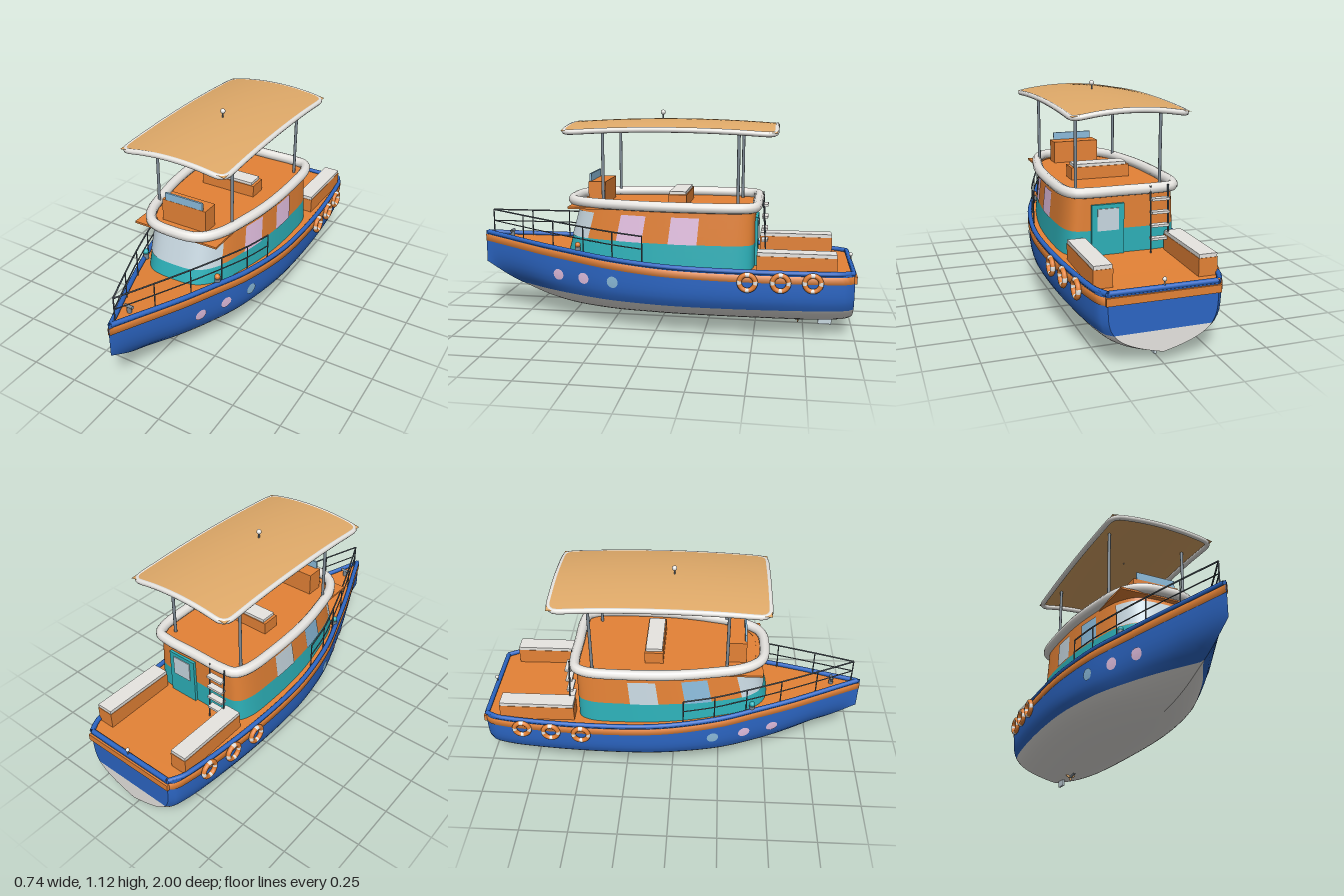
import * as THREE from 'three';

const V = (x, y, z) => new THREE.Vector3(x, y, z);
const paint = (name, color) => {
  const m = new THREE.MeshStandardMaterial({ color, side: THREE.DoubleSide });
  m.name = name;
  return m;
};

// hull stations: z, half width, sheer height, keel height
const STATIONS = [
  [-0.99, 0.254, 0.352, 0.052], [-0.97, 0.276, 0.352, 0.044], [-0.93, 0.292, 0.353, 0.037], [-0.8, 0.315, 0.355, 0.03],
  [-0.5, 0.343, 0.36, 0.03], [-0.2, 0.349, 0.365, 0.03], [0, 0.335, 0.372, 0.03],
  [0.25, 0.287, 0.387, 0.033], [0.46, 0.215, 0.402, 0.05], [0.62, 0.157, 0.414, 0.088],
  [0.76, 0.1, 0.426, 0.142], [0.866, 0.055, 0.435, 0.19], [1, 0, 0.447, 0.27],
];
// smooth interpolation through the stations
function station(z, col) {
  const S = STATIONS, n = S.length - 1;
  let i = 0;
  while (i < n - 1 && z > S[i + 1][0]) i++;
  const slope = (k) => {
    const a = S[Math.max(k - 1, 0)], b = S[Math.min(k + 1, n)];
    return (b[col] - a[col]) / (b[0] - a[0]);
  };
  const h = S[i + 1][0] - S[i][0], t = THREE.MathUtils.clamp((z - S[i][0]) / h, 0, 1);
  const t2 = t * t, t3 = t2 * t;
  return (2 * t3 - 3 * t2 + 1) * S[i][col] + (t3 - 2 * t2 + t) * h * slope(i)
    + (3 * t2 - 2 * t3) * S[i + 1][col] + (t3 - t2) * h * slope(i + 1);
}
const halfWidth = (z) => station(z, 1), sheer = (z) => station(z, 2), keel = (z) => station(z, 3);
const WATERLINE = 0.155;
const hullX = (z, y) => {
  const t = THREE.MathUtils.clamp((y - keel(z)) / (sheer(z) - keel(z)), 0, 1);
  const p = 5.3 - 1.8 * THREE.MathUtils.smoothstep(z, 0.2, 1);
  return halfWidth(z) * (1 - Math.pow(1 - t, p));
};

// surface from a grid of points given by f(u, v), u and v from 0 to 1
function surface(nu, nv, f) {
  const pos = [], idx = [];
  for (let i = 0; i <= nu; i++) for (let j = 0; j <= nv; j++) pos.push(...f(i / nu, j / nv).toArray());
  for (let i = 0; i < nu; i++) for (let j = 0; j < nv; j++) {
    const a = i * (nv + 1) + j, b = a + nv + 1;
    idx.push(a, b, a + 1, b, b + 1, a + 1);
  }
  const g = new THREE.BufferGeometry();
  g.setAttribute('position', new THREE.Float32BufferAttribute(pos, 3));
  g.setIndex(idx);
  g.computeVertexNormals();
  return g;
}
const lerp = THREE.MathUtils.lerp;
const zAt = (u) => lerp(-0.99, 1, u);

// cabin plan, from stern centre along one side to the front centre
const HALF_PLAN = [[0, -0.495], [0.18, -0.495], [0.25, -0.48], [0.283, -0.42], [0.295, -0.25],
  [0.287, 0], [0.255, 0.21], [0.205, 0.395], [0.13, 0.485], [0, 0.505]];
const PLAN = new THREE.CatmullRomCurve3(
  [...HALF_PLAN, ...HALF_PLAN.slice(1, -1).reverse().map(([x, z]) => [-x, z])].map(([x, z]) => V(x, 0, z)), true);
// point on the cabin wall, leaning in and back towards the top
function wall(t, y, out = 0) {
  const p = PLAN.getPoint(t), d = PLAN.getTangent(t), k = (y - 0.36) / 0.27;
  return V((p.x + d.z * out) * (1 - 0.06 * k), y, p.z - d.x * out - 0.075 * k * Math.max(0, p.z + 0.495));
}
function planT(z) {
  let a = 0.06, b = 0.5;
  for (let i = 0; i < 30; i++) PLAN.getPoint((a + b) / 2).z < z ? (a = (a + b) / 2) : (b = (a + b) / 2);
  return a;
}

export function createModel() {
  const boat = new THREE.Group();
  boat.name = 'boat';
  const blue = paint('hull blue', 0x2c66c4), orange = paint('orange', 0xe48236), teal = paint('teal', 0x2db0b8),
    tan = paint('canopy tan', 0xe0aa69), white = paint('off white', 0xeeece8), metal = paint('metal grey', 0x7e8a94),
    dark = paint('rail grey', 0x545f68), pink = paint('pink glass', 0xe8c4e6),
    pale = paint('pale glass', 0xc9d9e2), sky = paint('blue glass', 0x8cbcdc);

  const add = (name, geo, mat, x = 0, y = 0, z = 0) => {
    const m = new THREE.Mesh(geo, mat);
    m.name = name;
    m.position.set(x, y, z);
    boat.add(m);
    return m;
  };
  // box from its lower and upper limits
  const box = (name, mat, x0, x1, y0, y1, z0, z1) =>
    add(name, new THREE.BoxGeometry(x1 - x0, y1 - y0, z1 - z0), mat, (x0 + x1) / 2, (y0 + y1) / 2, (z0 + z1) / 2);
  const tube = (name, mat, pts, r, closed = false, seg = 80) =>
    add(name, new THREE.TubeGeometry(new THREE.CatmullRomCurve3(pts, closed), seg, r, 10, closed), mat);
  const rod = (name, mat, a, b, r) => add(name, new THREE.TubeGeometry(new THREE.LineCurve3(a, b), 1, r, 10), mat);
  const ball = (name, mat, x, y, z, r) => add(name, new THREE.SphereGeometry(r, 16, 12), mat, x, y, z);

  // hull sides, strake, rail and fittings on each side
  for (const s of [1, -1]) {
    const low = (z) => Math.max(WATERLINE, keel(z));
    const skin = (y0, y1) => (u, v) => {
      const z = zAt(u), y = lerp(y0(z), y1(z), v);
      return V(s * hullX(z, y), y, z);
    };
    add('hullBottom', surface(80, 14, (u, v) => skin(keel, low)(u, v * v)), white);
    add('hullSide', surface(80, 8, skin(low, sheer)), blue);
    add('strake', surface(80, 3, (u, v) => {
      const z = zAt(u), k = Math.round(v * 3);
      return V(s * Math.max(0, halfWidth(z) + [-0.012, 0.005, 0.005, -0.012][k]), sheer(z) - (k < 2 ? 0.022 : 0.058), z);
    }), orange);
    tube('rail', blue, Array.from({ length: 30 }, (_, i) => {
      const z = lerp(-0.985, 0.985, i / 29);
      return V(s * Math.max(0, halfWidth(z) - 0.006), sheer(z) - 0.007, z);
    }), 0.0125);

    // portholes lying on the hull
    [[0.53, pink], [0.38, pink], [0.215, sky]].forEach(([z0, mat]) =>
      add('porthole', surface(3, 28, (u, v) => {
        const a = v * Math.PI * 2, z = z0 + 0.03 * u * Math.cos(a), y = 0.26 + 0.03 * u * Math.sin(a);
        return V(s * (hullX(z, y) + 0.004), y, z);
      }), mat));

    // ring fenders in alternating colours
    for (const z of [-0.47, -0.63, -0.785]) for (let i = 0; i < 8; i++) {
      const wide = i % 2 === 0;
      const m = add('fender', new THREE.TorusGeometry(0.039, 0.0125, 10, 8, Math.PI * (wide ? 0.36 : 0.14)),
        wide ? orange : white, s * (halfWidth(z) + 0.014), 0.305, z);
      m.rotation.set(0, Math.PI / 2, (i >> 1) * Math.PI / 2 + Math.PI * (wide ? 0.07 : 0.43));
    }

    // bow railing
    const top = (z) => V(s * Math.max(0, halfWidth(z) - 0.02), lerp(0.505, 0.565, (z - 0.06) / 0.89), z);
    const foot = (z) => top(z).setY(sheer(z) - 0.015);
    const zs = [0.06, 0.22, 0.385, 0.565, 0.755, 0.95];
    zs.forEach((z) => rod('railingPost', dark, foot(z), top(z), 0.0032));
    tube('railingTop', dark, zs.map(top), 0.004);
    tube('railingMiddle', dark, zs.map((z) => top(z).lerp(foot(z), 0.45)), 0.003);

    // side lamps
    add('sideLampBase', new THREE.CylinderGeometry(0.015, 0.015, 0.03, 14), metal, s * 0.215, 0.405, 0.415);
    add('sideLamp', new THREE.SphereGeometry(0.015, 14, 10), s > 0 ? orange : teal, s * 0.215, 0.43, 0.415);

    // stern benches
    box('bench', orange, Math.min(s * 0.2, s * 0.29), Math.max(s * 0.2, s * 0.29), 0.33, 0.422, -0.9, -0.51);
    box('benchCushion', white, Math.min(s * 0.202, s * 0.288), Math.max(s * 0.202, s * 0.288), 0.422, 0.44, -0.898, -0.512);

    // canopy posts
    for (const z of [0.275, -0.41]) rod('canopyPost', metal, V(s * 0.215, 0.63, z), V(s * 0.215, 1.045, z), 0.008);
  }

  // transom, stern trim and deck
  const transom = (y0, y1) => surface(12, 12, (u, v) => {
    const y = lerp(y0, y1, v);
    return V((u * 2 - 1) * hullX(-0.99, y), y, -0.99);
  });
  add('transomBottom', transom(0.052, WATERLINE), white);
  add('transom', transom(WATERLINE, sheer(-0.99)), blue);
  box('sternStrake', orange, -0.264, 0.264, 0.294, 0.33, -1, -0.98);
  rod('sternRail', blue, V(-0.25, 0.345, -0.982), V(0.25, 0.345, -0.982), 0.0125);
  add('deck', surface(60, 2, (u, v) => {
    const z = zAt(u);
    return V((v * 2 - 1) * Math.max(0, halfWidth(z) - 0.002), sheer(z) - 0.016, z);
  }), orange);
  rod('sternLampPost', metal, V(0, 0.345, -0.985), V(0, 0.38, -0.985), 0.004);
  ball('sternLamp', white, 0, 0.382, -0.985, 0.01);
  rod('cleatBar', metal, V(-0.022, 0.45, 0.845), V(0.022, 0.45, 0.845), 0.008);
  rod('cleatFoot', metal, V(0, 0.41, 0.845), V(0, 0.45, 0.845), 0.012);

  // cabin walls, windows and roof
  const band = (name, mat, y0, y1, t0 = 0, t1 = 1, out = 0) =>
    add(name, surface(t1 - t0 > 0.5 ? 110 : 30, 4, (u, v) => wall(lerp(t0, t1, u), lerp(y0, y1, v), out)), mat);
  band('cabinLower', teal, 0.33, 0.465);
  band('cabinUpper', orange, 0.465, 0.635);
  band('windscreen', pale, 0.465, 0.6, planT(0.385), 1 - planT(0.385), 0.004);
  [[-0.205, -0.055, pink, pale], [0.085, 0.225, pink, sky]].forEach(([z0, z1, left, right]) => {
    const a = planT(z0), b = planT(z1);
    band('sideWindow', left, 0.465, 0.6, a, b, 0.004);
    band('sideWindow', right, 0.465, 0.6, 1 - b, 1 - a, 0.004);
  });
  add('roof', surface(100, 1, (t, v) => wall(t, 0.632, 0.01).multiply(V(v, 1, v))), orange);
  box('roofVisor', orange, -0.235, 0.235, 0.622, 0.632, 0.2, 0.46);
  tube('roofCoaming', white, Array.from({ length: 48 }, (_, i) => {
    const p = PLAN.getPoint(i / 48);
    return V(p.x * 0.965, 0.652, p.z * (p.z > 0 ? 0.935 : 1.015));
  }), 0.0265, true, 140);

  // rear door and ladder
  box('door', teal, 0.005, 0.166, 0.345, 0.592, -0.51, -0.485);
  box('doorWindow', pale, 0.033, 0.139, 0.465, 0.572, -0.514, -0.509);
  for (const x of [-0.12, -0.21]) rod('ladderRail', dark, V(x, 0.34, -0.545), V(x, 0.67, -0.525), 0.004);
  for (let i = 0; i < 4; i++) box('ladderRung', white, -0.21, -0.12, 0.405 + i * 0.065, 0.417 + i * 0.065, -0.553, -0.52);

  // rooftop helm and seat
  box('helm', orange, -0.125, 0.125, 0.63, 0.75, 0.285, 0.375);
  box('helmScreen', sky, -0.107, 0.107, 0.745, 0.79, 0.364, 0.374);
  box('roofSeat', orange, -0.155, 0.155, 0.63, 0.695, -0.145, -0.05);
  box('roofSeatCushion', white, -0.14, 0.14, 0.695, 0.71, -0.14, -0.055);

  // arched canopy with a padded rim
  const CZ = -0.062, HX = 0.287, HZ = 0.535;
  const arch = (x, z) => 1.073 - 0.03 * (x / HX) ** 2 - 0.02 * ((z - CZ) / HZ) ** 2;
  add('canopy', surface(20, 20, (u, v) => {
    const x = HX * (2 * u - 1), z = CZ + HZ * (2 * v - 1);
    return V(x, arch(x, z), z);
  }), tan);
  const rim = [], R = 0.045, RX = HX - 0.007, RZ = HZ - 0.007;
  for (let q = 0; q < 4; q++) {
    const sx = q === 0 || q === 3 ? 1 : -1, sz = q < 2 ? 1 : -1;
    for (let i = 0; i <= 6; i++) {
      const a = (q + i / 6) * Math.PI / 2;
      rim.push([sx * (RX - R) + R * Math.cos(a), CZ + sz * (RZ - R) + R * Math.sin(a)]);
    }
    for (let i = 1; i < 6; i++) { // straight run to the next corner
      const k = lerp(1, -1, i / 6);
      rim.push(q % 2 ? [sx * RX, CZ + k * sz * (RZ - R)] : [k * sx * (RX - R), CZ + sz * RZ]);
    }
  }
  tube('canopyRim', white, rim.map(([x, z]) => V(x, arch(x, z) - 0.011, z)), 0.0135, true, 160);
  rod('mastLampPost', metal, V(0, 1.07, 0), V(0, 1.1, 0), 0.004);
  ball('mastLamp', white, 0, 1.106, 0, 0.013);

  // propeller and rudder
  rod('propellerShaft', metal, V(0, 0.03, -0.66), V(0, 0.02, -0.73), 0.006);
  for (let i = 0; i < 3; i++) {
    const a = Math.PI / 6 + i * Math.PI * 2 / 3;
    const blade = ball('propellerBlade', tan, 0.015 * Math.cos(a), 0.021 + 0.01 * Math.sin(a), -0.725, 0.016);
    blade.scale.set(i === 2 ? 0.6 : 1, 0.45, 0.25);
    blade.rotation.z = a;
  }
  box('rudder', pale, -0.006, 0.006, 0, 0.06, -0.9, -0.83);
  return boat;
}
